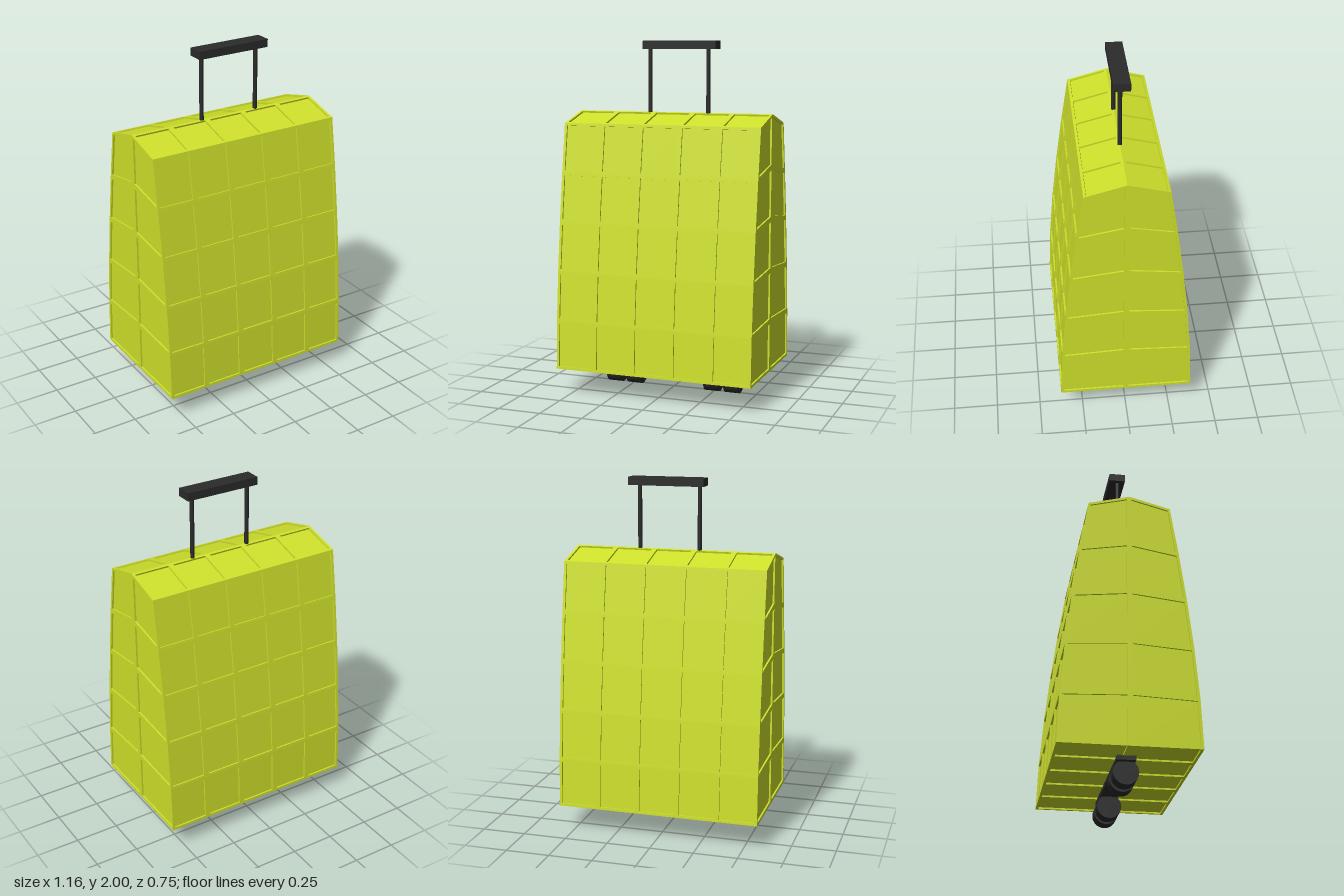
import * as THREE from 'three';

const shellMat = new THREE.MeshStandardMaterial({ color: 0xcfe12b, flatShading: true });
const darkMat = new THREE.MeshStandardMaterial({ color: 0x2b2b2b });

const RIB = 0.015;   // half width of a rib
const DEPTH = 0.01;  // how far each panel sits below the ribs

// One cell of the shell: a raised frame, four short walls and a sunken panel.
// Corners a, b, c, d run counter-clockwise seen from outside.
function addCell(out, a, b, c, d) {
  const outer = [a, b, c, d];
  const normal = c.clone().sub(a).cross(d.clone().sub(b)).normalize();
  const wide = (a.distanceTo(b) + c.distanceTo(d)) / 2;
  const tall = (b.distanceTo(c) + d.distanceTo(a)) / 2;
  const u = RIB / wide, v = RIB / tall;
  const at = (s, t) => a.clone().lerp(b, s).lerp(d.clone().lerp(c, s), t);
  const inner = [at(u, v), at(1 - u, v), at(1 - u, 1 - v), at(u, 1 - v)];
  const floor = inner.map((p) => p.clone().addScaledVector(normal, -DEPTH));
  const quad = (p, q, r, s) => [p, q, r, p, r, s].forEach((k) => out.push(k.x, k.y, k.z));
  for (let i = 0; i < 4; i++) {
    const n = (i + 1) % 4;
    quad(outer[i], outer[n], inner[n], inner[i]);
    quad(inner[i], inner[n], floor[n], floor[i]);
  }
  quad(...floor);
}

function shellGeometry() {
  const X = 0.578, COLS = 5, BASE = 0.145, RIDGE = 1.6;
  // Front profile from bottom to shoulder: [y, z]
  const side = [[BASE, 0.376], [0.42, 0.364], [0.703, 0.34], [0.983, 0.308], [1.26, 0.27], [1.54, 0.226]];
  const mirrored = side.map(([y, z]) => [y, -z]).reverse();
  // Closed loop: up the front, over the ridge, down the back, along the base
  const loop = [...side, [RIDGE, 0], ...mirrored, [BASE, 0], side[0]];
  const out = [];
  const V = (x, [y, z]) => new THREE.Vector3(x, y, z);

  for (let j = 0; j < loop.length - 1; j++) {
    for (let i = 0; i < COLS; i++) {
      const x0 = -X + (2 * X * i) / COLS, x1 = -X + (2 * X * (i + 1)) / COLS;
      addCell(out, V(x0, loop[j]), V(x1, loop[j]), V(x1, loop[j + 1]), V(x0, loop[j + 1]));
    }
  }

  // Ends: two columns of panels that meet on the centre line
  const rows = side.length - 1;
  const mid = (j) => [BASE + ((RIDGE - BASE) * j) / rows, 0];
  for (let j = 0; j < rows; j++) {
    for (const s of [1, -1]) {
      const f0 = [side[j][0], s * side[j][1]], f1 = [side[j + 1][0], s * side[j + 1][1]];
      addCell(out, V(s * X, f0), V(s * X, mid(j)), V(s * X, mid(j + 1)), V(s * X, f1));
      addCell(out, V(-s * X, mid(j)), V(-s * X, f0), V(-s * X, f1), V(-s * X, mid(j + 1)));
    }
  }

  const geo = new THREE.BufferGeometry();
  geo.setAttribute('position', new THREE.Float32BufferAttribute(out, 3));
  geo.computeVertexNormals();
  return geo;
}

export function createModel() {
  const model = new THREE.Group();
  model.name = 'suitcase';
  const add = (parent, name, geo, mat, x = 0, y = 0, z = 0) => {
    const mesh = new THREE.Mesh(geo, mat);
    mesh.name = name;
    mesh.position.set(x, y, z);
    parent.add(mesh);
    return mesh;
  };

  add(model, 'shell', shellGeometry(), shellMat);

  // Pull-out handle, set slightly off centre
  const handle = new THREE.Group();
  handle.name = 'handle';
  model.add(handle);
  add(handle, 'grip', new THREE.BoxGeometry(0.435, 0.045, 0.092), darkMat, 0.039, 1.9775, -0.006);
  for (const x of [-0.145, 0.203]) {
    add(handle, 'post', new THREE.CylinderGeometry(0.012, 0.012, 0.42, 20), darkMat, x, 1.76, 0);
  }

  // Wheel carriage under the base
  const carriage = new THREE.Group();
  carriage.name = 'carriage';
  model.add(carriage);
  add(carriage, 'axlePlate', new THREE.BoxGeometry(0.835, 0.025, 0.1), darkMat, -0.012, 0.135, 0.003);
  const wheelGeo = new THREE.CylinderGeometry(0.068, 0.068, 0.085, 32).rotateZ(Math.PI / 2);
  for (const x of [-0.358, -0.235, 0.243, 0.364]) {
    add(carriage, 'wheel', wheelGeo, darkMat, x, 0.068, 0.004);
  }
  return model;
}
